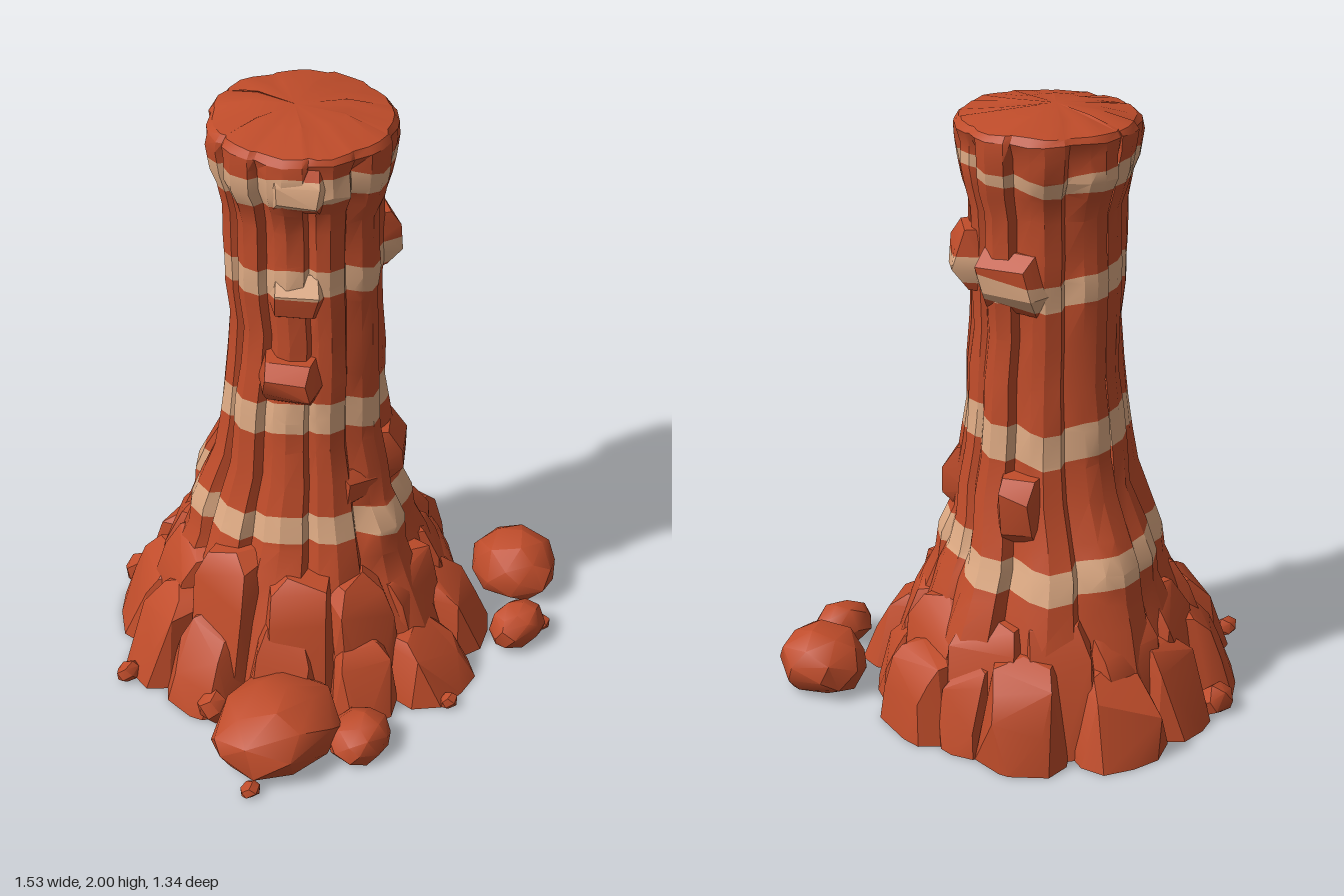
import * as THREE from 'three';
import { toCreasedNormals } from 'three/addons/utils/BufferGeometryUtils.js';
import { ConvexGeometry } from 'three/addons/geometries/ConvexGeometry.js';

const redRock = new THREE.MeshStandardMaterial({ color: 0xbf4c2a });
redRock.name = 'redRock';
const paleRock = new THREE.MeshStandardMaterial({ color: 0xdfab84 });
paleRock.name = 'paleRock';

let seed = 7;
const rand = () => ((seed = (seed * 16807) % 2147483647) / 2147483647);
const jit = (a) => (rand() * 2 - 1) * a;
const V = (x, y, z) => new THREE.Vector3(x, y, z);

// Where the rock changes colour: height and extra sideways tilt of each boundary
const LEVELS = [[0.54, 0], [0.637, 0], [0.94, 0], [1.053, 0], [1.45, 0], [1.537, 0], [1.803, 0.12], [1.872, 0]];
function strata(p, [height, tilt]) {
  const t = Math.atan2(p.z + 0.04, p.x);
  const ripple = 0.014 * Math.sin(3 * t + 1) + 0.007 * Math.sin(8 * t);
  return p.y + 0.06 * p.x - 0.06 * p.z - ripple - height - tilt * p.x;
}

// Keep the part of a polygon on one side of a boundary
function clip(poly, level, sign) {
  const out = [];
  poly.forEach((p, i) => {
    const q = poly[(i + 1) % poly.length];
    const a = strata(p, level) * sign, b = strata(q, level) * sign;
    if (a >= 0) out.push(p);
    if (a * b < 0) out.push(p.clone().lerp(q, a / (a - b)));
  });
  return out;
}

// Cut triangles along the strata and give each layer its material
function layeredMesh(name, tris, crease = 0.45) {
  const lists = [[], []];
  const add = (poly, m) => {
    for (let i = 1; i + 1 < poly.length; i++)
      for (const p of [poly[0], poly[i], poly[i + 1]]) lists[m].push(p.x, p.y, p.z);
  };
  for (const tri of tris) {
    let poly = tri;
    LEVELS.forEach((level, k) => {
      if (poly.length < 3) return;
      add(clip(poly, level, -1), k % 2);
      poly = clip(poly, level, 1);
    });
    add(poly, 0);
  }
  let geo = new THREE.BufferGeometry();
  geo.setAttribute('position', new THREE.Float32BufferAttribute(lists[0].concat(lists[1]), 3));
  geo = toCreasedNormals(geo, crease);
  geo.addGroup(0, lists[0].length / 3, 0);
  geo.addGroup(lists[0].length / 3, lists[1].length / 3, 1);
  const mesh = new THREE.Mesh(geo, [redRock, paleRock]);
  mesh.name = name;
  return mesh;
}

function hullMesh(name, points, crease) {
  const pos = new ConvexGeometry(points).getAttribute('position');
  const tris = [];
  for (let i = 0; i < pos.count; i += 3)
    tris.push([0, 1, 2].map((k) => V(0, 0, 0).fromBufferAttribute(pos, i + k)));
  return layeredMesh(name, tris, crease);
}

// Irregular rounded stone, flat where it meets the ground
function stone(name, x, y, z, rx, ry, rz, n) {
  const pts = [];
  for (let i = 0; i < n; i++) {
    const h = 1 - (2 * (i + 0.5)) / n, r = Math.sqrt(1 - h * h), a = i * 2.4 + jit(0.2);
    const s = 1.04 + jit(0.06);
    pts.push(V(x + rx * r * Math.cos(a) * s, Math.max(0, y + ry * h * s), z + rz * r * Math.sin(a) * s));
  }
  return hullMesh(name, pts, 0.65);
}

// Places a point by radius r and sideways offset t from the column axis at an angle
function placer(deg) {
  const a = (deg * Math.PI) / 180, c = Math.cos(a), s = Math.sin(a);
  return (r, t, y) => V(c * r - s * t, y, s * r + c * t - 0.04);
}

// Block jutting from the column: angle, bottom, top, inner and outer radius, half width
function ledge(deg, y0, y1, rIn, rOut, w) {
  const at = placer(deg), h = y1 - y0, pts = [];
  for (const side of [-1, 1]) {
    pts.push(at(rIn, side * w, y0), at(rIn, side * w, y1));
    pts.push(at(rOut - 0.05, side * w * 0.7, y0 + h * (0.06 + jit(0.05))));
    pts.push(at(rOut + jit(0.012), side * w * (0.65 + jit(0.15)), y0 + h * (0.3 + jit(0.08))));
    pts.push(at(rOut + jit(0.012), side * w * (0.65 + jit(0.15)), y0 + h * (0.72 + jit(0.1))));
    pts.push(at(rOut - 0.04, side * w * 0.7, y1 - h * 0.03));
    pts.push(at((rIn + rOut) / 2, side * w * 1.08, y0 + h * 0.4));
  }
  return hullMesh('ledge', pts);
}

// Upright rock at the foot: angle, top, outer radius at ground and at top, half width
function crag(name, deg, top, rOut, rTop, w) {
  const at = placer(deg), pts = [], skew = jit(0.05), slope = rOut - rTop;
  for (const side of [-1, 1]) {
    const drop = Math.max(0, side * skew);
    pts.push(at(0.15, side * w, 0), at(0.2, side * w * 0.8, top));
    pts.push(at(rOut - 0.07, side * w * 1.05, 0), at(rOut, side * w * (0.6 + jit(0.18)), 0));
    pts.push(at(rOut - slope * 0.3 + jit(0.015), side * w * (0.6 + jit(0.15)), top * (0.42 + jit(0.12))));
    pts.push(at(rOut - slope * 0.7 + jit(0.01), side * w * (0.7 + jit(0.12)), top * (0.78 + jit(0.06)) - drop));
    pts.push(at(rTop - 0.015 + jit(0.015), side * w * (0.55 + jit(0.15)), top - 0.01 - drop));
  }
  pts.push(at(rOut + 0.012, jit(w * 0.3), 0), at(rTop - 0.06, jit(w * 0.4), top + 0.01));
  return hullMesh(name, pts);
}

// Fluted central column: height, x radius, z radius, z centre
const PROFILE = [
  [0, 0.52, 0.53, -0.03], [0.2, 0.47, 0.48, -0.04], [0.38, 0.405, 0.415, -0.06], [0.47, 0.37, 0.385, -0.06],
  [0.56, 0.345, 0.37, -0.06], [0.66, 0.315, 0.33, -0.055], [0.78, 0.288, 0.293, -0.04], [0.9, 0.27, 0.27, -0.04],
  [1.02, 0.26, 0.262, -0.04], [1.16, 0.245, 0.254, -0.035], [1.3, 0.231, 0.248, -0.035], [1.42, 0.236, 0.248, -0.04],
  [1.5, 0.246, 0.25, -0.04], [1.58, 0.24, 0.248, -0.04], [1.7, 0.24, 0.245, -0.04], [1.77, 0.26, 0.26, -0.04],
  [1.83, 0.277, 0.28, -0.042], [1.9, 0.278, 0.284, -0.044], [1.945, 0.285, 0.288, -0.044], [1.965, 0.268, 0.275, -0.044],
  [1.99, 0.15, 0.15, -0.06],
];
function column() {
  const SLABS = 11, angles = [], depth = [];
  for (let i = 0; i < SLABS; i++) {
    const bulge = jit(0.035), start = i + jit(0.2);
    [[0, 0.91], [0.12, 1 + bulge], [0.5, 1.03 + bulge], [0.8, 0.99 + bulge]].forEach(([f, d]) => {
      angles.push(((start + f * 0.95) / SLABS) * Math.PI * 2);
      depth.push(d);
    });
  }
  const n = angles.length;
  const rings = PROFILE.map(([y, rx, rz, cz], row) => {
    const rough = y > 1.9 ? 0.35 : 1;
    const shift = Array.from({ length: SLABS }, () => jit(0.022 * rough));
    return angles.map((a, i) => {
      const r = 1 + (depth[i] - 1) * rough + shift[Math.floor(i / 4)] + jit(0.008);
      const wobble = row === 0 ? 0 : jit(0.01 * rough);
      return V(Math.cos(a) * rx * r, y + wobble, Math.sin(a) * rz * r + cz);
    });
  });
  const tris = [], last = rings.length - 1;
  const foot = V(0, 0, -0.03), crown = V(-0.02, 2, -0.06);
  for (let i = 0; i < n; i++) {
    const k = (i + 1) % n;
    for (let j = 0; j < last; j++) {
      const a = rings[j][i], b = rings[j][k], c = rings[j + 1][i], d = rings[j + 1][k];
      tris.push([a, c, b], [b, c, d]);
    }
    tris.push([foot, rings[0][i], rings[0][k]], [crown, rings[last][k], rings[last][i]]);
  }
  return layeredMesh('column', tris);
}

export function createModel() {
  seed = 7;
  const model = new THREE.Group();
  model.name = 'rockPillar';
  model.add(column());

  // Blocks jutting from the column
  [
    [30, 1.42, 1.63, 0.12, 0.3, 0.085], [-24, 1.38, 1.6, 0.12, 0.275, 0.125], [145, 1.09, 1.25, 0.1, 0.315, 0.1],
    [-36, 0.64, 0.88, 0.2, 0.345, 0.075], [50, 0.62, 0.86, 0.15, 0.32, 0.1], [95, 0.64, 0.8, 0.15, 0.305, 0.1],
    [140, 1.37, 1.55, 0.1, 0.265, 0.09], [140, 1.76, 1.95, 0.12, 0.298, 0.1],
  ].forEach((p) => model.add(ledge(...p)));

  // Tall crags leaning on the column
  [
    [5, 0.4, 0.51, 0.43, 0.16], [42, 0.41, 0.53, 0.42, 0.16], [75, 0.4, 0.51, 0.42, 0.16], [108, 0.44, 0.52, 0.43, 0.14],
    [138, 0.47, 0.53, 0.45, 0.14], [172, 0.51, 0.53, 0.44, 0.13], [205, 0.44, 0.53, 0.43, 0.15], [238, 0.42, 0.52, 0.43, 0.15],
    [272, 0.42, 0.52, 0.43, 0.16], [302, 0.43, 0.53, 0.43, 0.14], [334, 0.41, 0.53, 0.43, 0.15],
  ].forEach((p) => model.add(crag('tallCrag', ...p)));

  // Lower outer crags
  [
    [0, 0.27, 0.6, 0.53, 0.15], [28, 0.25, 0.56, 0.49, 0.13], [56, 0.27, 0.63, 0.5, 0.14], [84, 0.21, 0.66, 0.52, 0.15],
    [112, 0.25, 0.6, 0.5, 0.11], [142, 0.33, 0.6, 0.5, 0.13], [173, 0.29, 0.64, 0.52, 0.13], [195, 0.31, 0.66, 0.53, 0.12],
    [221, 0.29, 0.63, 0.51, 0.15], [254, 0.3, 0.61, 0.49, 0.12], [281, 0.27, 0.63, 0.5, 0.15], [316, 0.32, 0.62, 0.51, 0.14],
    [339, 0.28, 0.57, 0.49, 0.1],
  ].forEach((p) => model.add(crag('lowCrag', ...p)));

  // Fallen boulders and pebbles: position, then radii
  [
    [-0.53, 0.095, 0.37, 0.215, 0.14, 0.18], [0.63, 0.09, 0.375, 0.14, 0.12, 0.15],
    [-0.34, 0.05, 0.56, 0.11, 0.08, 0.1], [0.42, 0.06, 0.575, 0.11, 0.08, 0.08],
  ].forEach((p) => model.add(stone('boulder', ...p, 34)));
  [
    [0.52, 0.02, 0.6, 0.03, 0.03, 0.03], [-0.665, 0.025, -0.21, 0.048, 0.035, 0.034], [-0.305, 0.04, -0.565, 0.06, 0.06, 0.05],
    [-0.73, 0.015, 0.46, 0.038, 0.025, 0.03], [0.01, 0.02, 0.635, 0.035, 0.03, 0.025], [-0.59, 0.05, 0.13, 0.05, 0.06, 0.05],
  ].forEach((p) => model.add(stone('pebble', ...p, 16)));
  return model;
}
